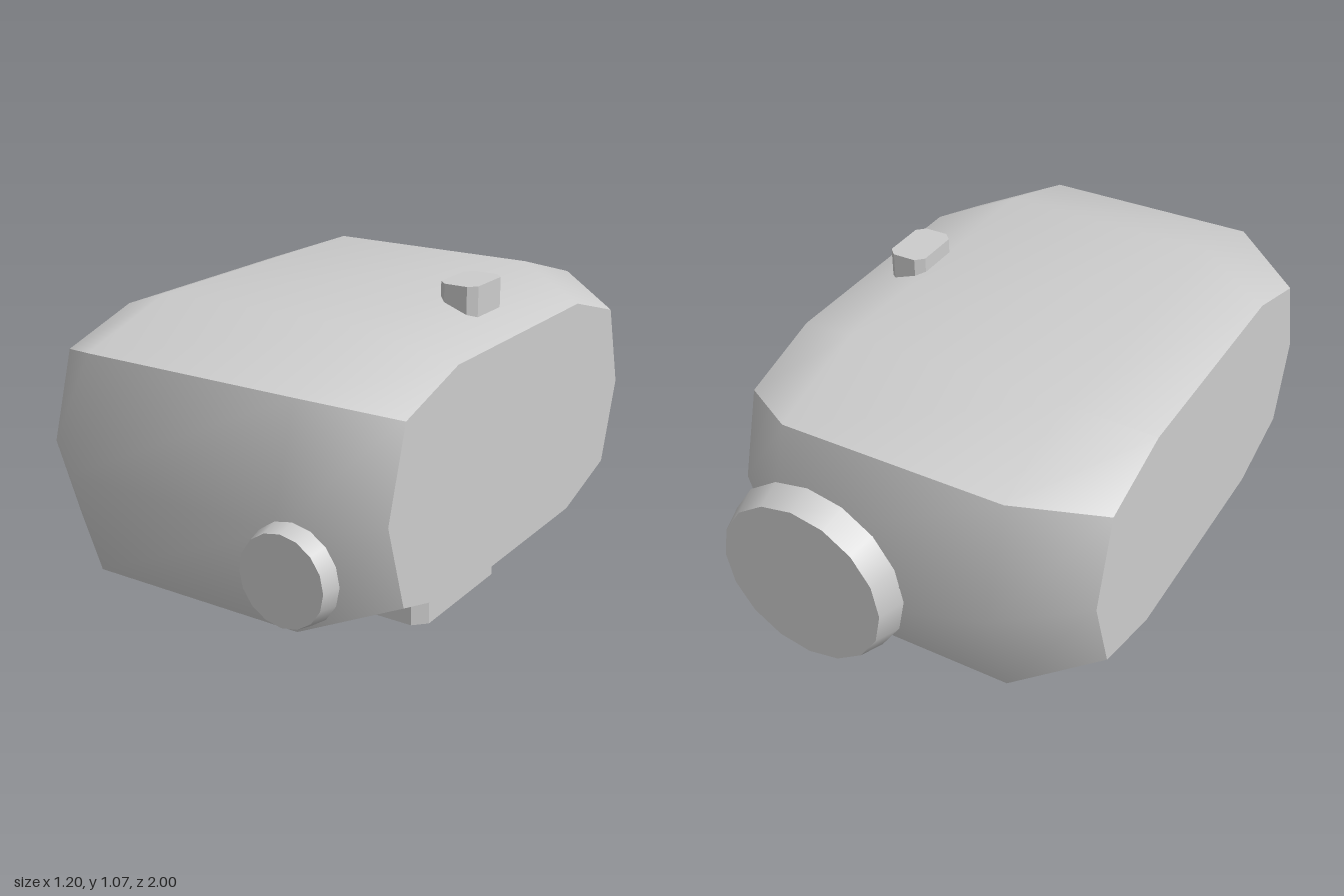
import * as THREE from 'three';

const shell = new THREE.MeshStandardMaterial({ color: 0xcccccc });
shell.name = 'lightGrey';

// Ten-sided body outline as [z, y] offsets, from the front edge over the top
const ring = [
  [0.935, 0], [0.83, 0.34], [0.486, 0.443], [-0.486, 0.443], [-0.83, 0.34],
  [-0.935, 0], [-0.83, -0.34], [-0.486, -0.443], [0.486, -0.443], [0.83, -0.34],
];
// Body sections as [x, scale]
const sections = [[-0.6, 0.8], [-0.36, 1], [0.36, 1], [0.6, 0.8]];
const centreY = 0.574, centreZ = 0.015;

function sectionPoint([x, s], i) {
  const [z, y] = ring[i % ring.length];
  return [x, centreY + y * s, centreZ + z * s];
}

function makeMesh(name, positions, index) {
  const g = new THREE.BufferGeometry();
  g.setAttribute('position', new THREE.Float32BufferAttribute(positions, 3));
  g.setIndex(index);
  g.computeVertexNormals();
  const mesh = new THREE.Mesh(g, shell);
  mesh.name = name;
  return mesh;
}

// Smooth strip of the body spanning ring points first..last
function bodyStrip(name, first, last) {
  const n = last - first + 1, positions = [], index = [];
  sections.forEach((sec, j) => {
    for (let i = 0; i < n; i++) {
      positions.push(...sectionPoint(sec, first + i));
      if (j < sections.length - 1 && i < n - 1) {
        const a = j * n + i, b = a + n;
        index.push(a, b, b + 1, a, b + 1, a + 1);
      }
    }
  });
  return makeMesh(name, positions, index);
}

// Flat end of the body
function bodyEnd(name, sec, flip) {
  const positions = [], index = [];
  ring.forEach((_, i) => positions.push(...sectionPoint(sec, i)));
  for (let i = 1; i < ring.length - 1; i++) {
    index.push(0, flip ? i + 1 : i, flip ? i : i + 1);
  }
  return makeMesh(name, positions, index);
}

// Upright block with chamfered vertical corners
function chamferedBlock(name, [x0, x1], [y0, y1], [z0, z1], c) {
  const w = (x1 - x0) / 2, d = (z1 - z0) / 2;
  const outline = [
    [w, d - c], [w - c, d], [c - w, d], [-w, d - c],
    [-w, c - d], [c - w, -d], [w - c, -d], [w, c - d],
  ].map(([x, y]) => new THREE.Vector2(x, y));
  const g = new THREE.ExtrudeGeometry(new THREE.Shape(outline), { depth: y1 - y0, bevelEnabled: false });
  g.rotateX(-Math.PI / 2);
  const mesh = new THREE.Mesh(g, shell);
  mesh.name = name;
  mesh.position.set((x0 + x1) / 2, y0, (z0 + z1) / 2);
  return mesh;
}

// Tapered disc whose narrow face points along dir * z
function disc(name, x, y, zBase, zTip, rBase, rTip) {
  const g = new THREE.CylinderGeometry(rTip, rBase, Math.abs(zTip - zBase), 16);
  g.rotateX(Math.sign(zTip - zBase) * Math.PI / 2);
  const mesh = new THREE.Mesh(g, shell);
  mesh.name = name;
  mesh.position.set(x, y, (zBase + zTip) / 2);
  return mesh;
}

export function createModel() {
  const model = new THREE.Group();
  model.name = 'model';

  const body = new THREE.Group();
  body.name = 'body';
  body.add(
    bodyStrip('bodyTop', 1, 4),
    bodyStrip('bodyBack', 4, 6),
    bodyStrip('bodyBottom', 6, 9),
    bodyStrip('bodyFront', 9, 11),
    bodyEnd('leftEnd', sections[3], true),
    bodyEnd('rightEnd', sections[0], false),
  );

  model.add(
    body,
    chamferedBlock('base', [-0.355, 0.42], [0, 0.132], [-0.235, 0.265], 0.041),
    chamferedBlock('topButton', [0.358, 0.484], [0.97, 1.065], [-0.083, 0.107], 0.025),
    disc('frontDial', 0.421, 0.468, 0.945, 1, 0.147, 0.134),
    disc('backDial', 0.208, 0.52, -0.918, -1, 0.297, 0.27),
  );
  return model;
}
